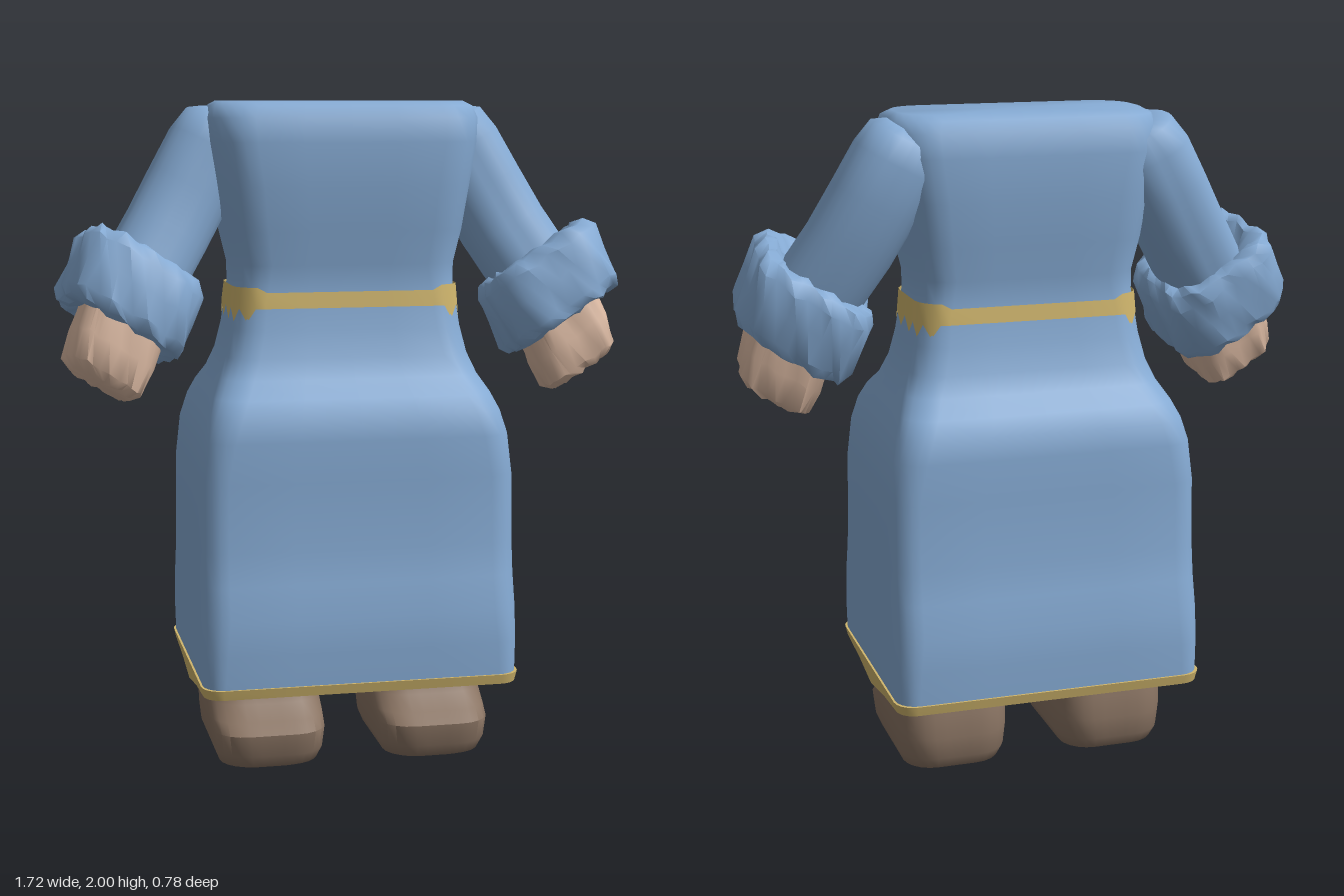
import * as THREE from 'three';
import { toCreasedNormals } from 'three/addons/utils/BufferGeometryUtils.js';

const V = (x, y, z) => new THREE.Vector3(x, y, z);

const makeMaterial = (name, color) => {
  const m = new THREE.MeshStandardMaterial({ color });
  m.name = name;
  return m;
};

// Rounded rectangle outline, counter-clockwise, with extra points along each side
function roundedRect(hu, hv, r) {
  r = Math.min(r, hu * 0.95, hv * 0.95);
  const corners = [];
  for (let q = 0; q < 4; q++) {
    const cu = (q === 0 || q === 3 ? 1 : -1) * (hu - r);
    const cv = (q < 2 ? 1 : -1) * (hv - r);
    const arc = [];
    for (let i = 0; i <= 5; i++) {
      const a = (q + i / 5) * Math.PI / 2;
      arc.push([cu + r * Math.cos(a), cv + r * Math.sin(a)]);
    }
    corners.push(arc);
  }
  const pts = [];
  corners.forEach((arc, q) => {
    pts.push(...arc);
    const a = arc[5], b = corners[(q + 1) % 4][0];
    for (const t of [0.25, 0.5, 0.75]) pts.push([a[0] + (b[0] - a[0]) * t, a[1] + (b[1] - a[1]) * t]);
  });
  return pts;
}

// One ring of points around centre c, in the plane square to w
function ring(c, w, u, hu, hv, r) {
  const v = w.clone().cross(u);
  return roundedRect(hu, hv, r).map(([a, b]) => c.clone().addScaledVector(u, a).addScaledVector(v, b));
}

// Skin a list of rings and close both ends
function loft(rings, caps = true) {
  const n = rings[0].length, pos = [], idx = [];
  rings.forEach(rg => rg.forEach(p => pos.push(p.x, p.y, p.z)));
  for (let i = 0; i < rings.length - 1; i++) {
    for (let j = 0; j < n; j++) {
      const k = (j + 1) % n, a = i * n + j, b = i * n + k, c = a + n, d = b + n;
      idx.push(a, b, c, b, d, c);
    }
  }
  if (caps) {
    [0, rings.length - 1].forEach((i, end) => {
      const mid = V(0, 0, 0);
      rings[i].forEach(p => mid.addScaledVector(p, 1 / n));
      const m = pos.length / 3;
      pos.push(mid.x, mid.y, mid.z);
      for (let j = 0; j < n; j++) {
        const a = i * n + j, b = i * n + (j + 1) % n;
        if (end) idx.push(a, b, m); else idx.push(b, a, m);
      }
    });
  }
  const g = new THREE.BufferGeometry();
  g.setAttribute('position', new THREE.Float32BufferAttribute(pos, 3));
  g.setIndex(idx);
  return toCreasedNormals(g, 0.9);
}

// Level ring: height, half width, half depth, corner radius, centre x and z
const level = (y, hx, hz, r, x = 0, z = 0) => ring(V(x, y, z), V(0, 1, 0), V(1, 0, 0), hx, hz, r);

// Ring for a limb running along w; its width axis lies in the xy plane
function limbRing(c, w, hu, hv, r) {
  const d = w.clone().normalize();
  const u = V(0, 0, 1).cross(d).normalize();
  return ring(c, d, u, hu, hv, r);
}

// Small repeatable dents for crumpled cloth
function crumple(rings, amount) {
  rings.forEach((rg, i) => rg.forEach((p, j) => {
    p.x += amount * Math.sin(i * 2.1 + j * 1.7);
    p.y += amount * Math.sin(i * 1.3 + j * 2.3 + 1);
    p.z += amount * Math.sin(i * 2.7 + j * 1.9 + 2);
  }));
  return rings;
}

export function createModel() {
  const blue = makeMaterial('blue cloth', 0x85aad3);
  const gold = makeMaterial('gold trim', 0xcfb56c);
  const skin = makeMaterial('skin', 0xdcbaa3);
  const brown = makeMaterial('brown shoe', 0x8a7463);
  gold.side = THREE.DoubleSide;

  const model = new THREE.Group();
  model.name = 'robedFigure';
  const add = (name, geometry, material, parent = model) => {
    const mesh = new THREE.Mesh(geometry, material);
    mesh.name = name;
    parent.add(mesh);
  };

  // Robe: skirt, waist and chest in one skin
  add('robe', loft([
    [0.285, 0.474, 0.384, 0.06], [0.4, 0.478, 0.386, 0.07], [0.5, 0.478, 0.383, 0.08],
    [0.6, 0.476, 0.362, 0.08], [0.7, 0.476, 0.347, 0.08], [0.9, 0.474, 0.342, 0.08],
    [1.02, 0.462, 0.34, 0.09], [1.09, 0.44, 0.332, 0.09], [1.14, 0.418, 0.3, 0.09],
    [1.19, 0.392, 0.24, 0.09], [1.25, 0.368, 0.212, 0.09], [1.33, 0.35, 0.195, 0.09],
    [1.4, 0.342, 0.18, 0.09], [1.46, 0.333, 0.174, 0.09], [1.52, 0.335, 0.178, 0.1],
    [1.62, 0.358, 0.195, 0.11], [1.75, 0.38, 0.206, 0.12], [1.88, 0.4, 0.212, 0.12],
    [1.95, 0.405, 0.203, 0.12], [1.985, 0.395, 0.182, 0.12], [2, 0.37, 0.15, 0.11],
  ].map(a => level(...a))), blue);

  // Belt: thin band with ragged ends towards the sides
  const belt = [[1.395, 0.348, 0.187, 0.09], [1.442, 0.341, 0.181, 0.09]].map(a => level(...a));
  belt.forEach((rg, i) => rg.forEach((p, j) => {
    if (Math.abs(p.x) > 0.27) p.y += i ? 0.015 : -(j % 2) * 0.04;
  }));
  add('belt', loft(belt, false), gold);

  // Hem: gold edge and underside, sagging at the middle of each side
  const hem = [
    [0.252, 0.2, 0.12, 0.05], [0.262, 0.4, 0.31, 0.06], [0.272, 0.474, 0.384, 0.055], [0.302, 0.481, 0.391, 0.06],
  ].map(a => level(...a));
  hem.slice(1, 3).forEach(rg => rg.forEach(p => {
    if (Math.abs(p.x) > 0.35) p.y -= 0.04 * Math.max(0, 1 - Math.abs(p.z) / 0.25);
  }));
  add('hem', loft(hem), gold);

  for (const s of [1, -1]) {
    const side = s > 0 ? 'left' : 'right';

    // Shoe with sloping instep
    add(side + 'Shoe', loft([
      [0.004, 0.125, 0.2, 0.08, 0.02], [0.018, 0.15, 0.233, 0.09, 0.02], [0.055, 0.165, 0.254, 0.1, 0.02],
      [0.12, 0.172, 0.258, 0.1, 0.022], [0.15, 0.173, 0.237, 0.1, 0.003], [0.19, 0.173, 0.205, 0.1, -0.025],
      [0.23, 0.172, 0.185, 0.1, -0.035], [0.29, 0.172, 0.175, 0.1, -0.035],
    ].map(([y, hx, hz, r, z]) => level(y, hx, hz, r, s * 0.255, z))), brown);

    const arm = new THREE.Group();
    arm.name = side + 'Arm';
    model.add(arm);

    // Sleeve
    const down = V(s * 0.47, -0.88, 0.06);
    add('sleeve', loft([
      [0.33, 1.945, -0.065, 0.085, 0.095], [0.345, 1.925, -0.065, 0.118, 0.125],
      [0.385, 1.86, -0.065, 0.128, 0.135], [0.45, 1.745, -0.05, 0.128, 0.135],
      [0.52, 1.62, -0.025, 0.128, 0.135], [0.62, 1.46, 0.03, 0.128, 0.135],
    ].map(([x, y, z, hu, hv]) => limbRing(V(s * x, y, z), down, hu, hv, 0.1))), blue, arm);

    // Rolled cuff
    const top = V(s * 0.6, 1.54, 0.02), bottom = V(s * 0.69, 1.33, 0.07);
    const axis = V(s * 0.54, -0.84, 0.22);
    add('cuff', loft(crumple([
      [0.12, 0.11], [0, 0.145], [0.03, 0.175], [0.18, 0.196], [0.5, 0.194],
      [0.85, 0.198], [0.98, 0.182], [1, 0.15], [0.9, 0.11],
    ].map(([t, h]) => limbRing(top.clone().lerp(bottom, t), axis, h, h + 0.013, h * 0.6)), 0.006)), blue, arm);

    // Hand stump
    add('hand', loft(crumple([
      [0.665, 1.37, 0.06, 0.125], [0.705, 1.27, 0.08, 0.128], [0.735, 1.195, 0.095, 0.12], [0.742, 1.175, 0.098, 0.095],
    ].map(([x, y, z, h]) => limbRing(V(s * x, y, z), axis, h, h + 0.008, 0.06)), 0.004)), skin, arm);
  }
  return model;
}
